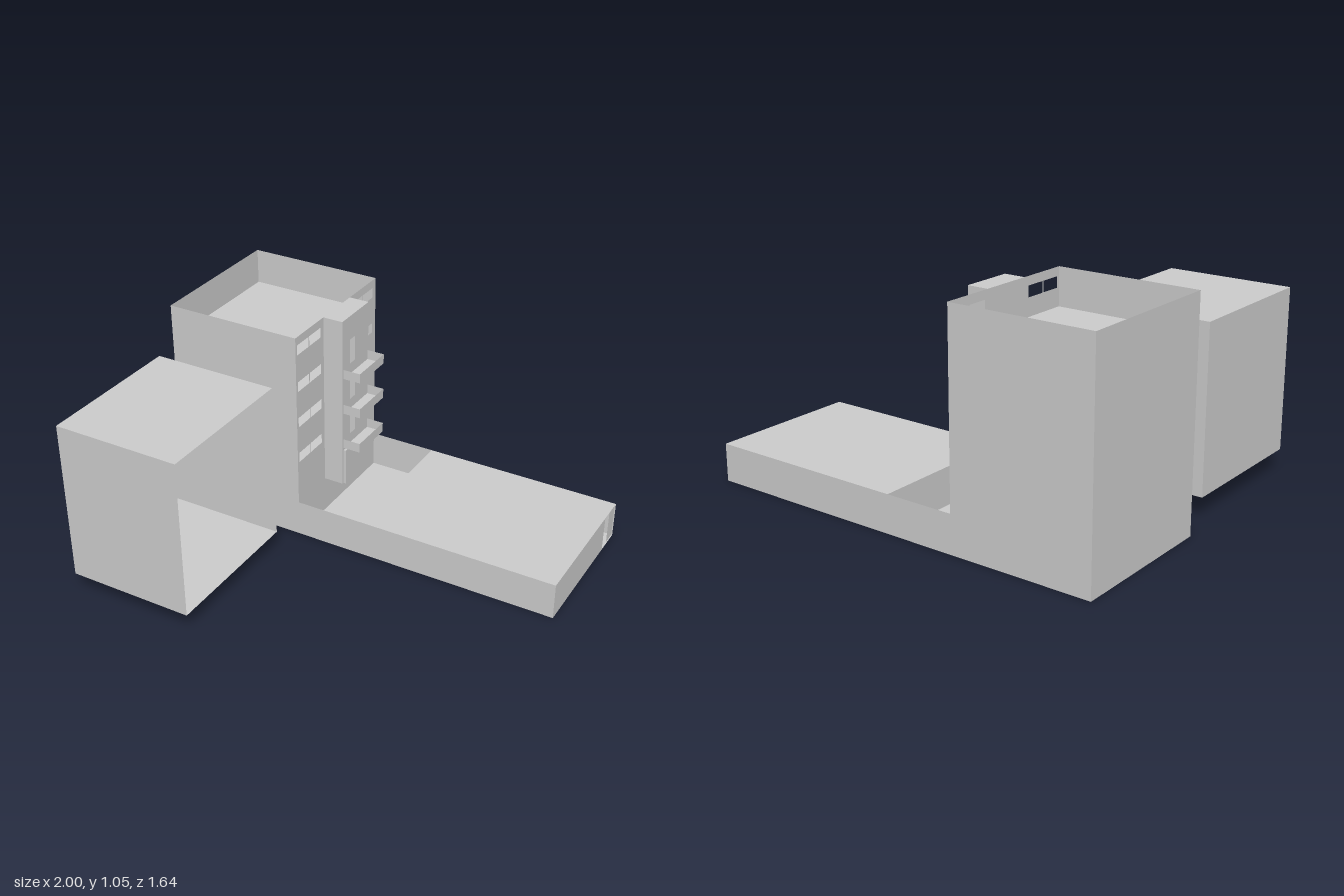
import * as THREE from 'three';

const material = new THREE.MeshStandardMaterial({ color: 0xcccccc, side: THREE.DoubleSide, flatShading: true });

// Flat wall or floor at a position on one axis, with rectangular holes.
// u, v ranges are (z, y) for axis x, (x, y) for axis z, (x, z) for axis y.
function sheet(parent, name, axis, pos, u0, u1, v0, v1, holes = []) {
  const su = axis === 'x' ? -1 : 1;
  const sv = axis === 'y' ? -1 : 1;
  const corners = (a, b, c, d) => [[a, c], [b, c], [b, d], [a, d]].map(([u, v]) => new THREE.Vector2(su * u, sv * v));
  const shape = new THREE.Shape(corners(u0, u1, v0, v1));
  for (const h of holes) shape.holes.push(new THREE.Path(corners(...h)));
  const geometry = new THREE.ShapeGeometry(shape);
  if (axis === 'x') geometry.rotateY(Math.PI / 2).translate(pos, 0, 0);
  if (axis === 'y') geometry.rotateX(-Math.PI / 2).translate(0, pos, 0);
  if (axis === 'z') geometry.translate(0, 0, pos);
  const mesh = new THREE.Mesh(geometry, material);
  mesh.name = name;
  parent.add(mesh);
}

function part(parent, name) {
  const group = new THREE.Group();
  group.name = name;
  parent.add(group);
  return group;
}

export function createModel() {
  const model = new THREE.Group();
  model.name = 'apartmentBuilding';
  const back = -0.82, front = -0.08, facade = -0.32, baseTop = 0.18, top = 1.055;

  // Low base with a sunken courtyard and a hollow block with a side opening
  const base = part(model, 'base');
  sheet(base, 'groundFloor', 'y', 0, -1, 1, back, front);
  for (const z of [back, front]) sheet(base, 'baseSideWall', 'z', z, facade, 1, 0, baseTop);
  sheet(base, 'lowRoof', 'y', baseTop, 0.015, 1, back, front);
  sheet(base, 'courtyardEndWall', 'x', 0.015, back, front, 0, baseTop);
  sheet(base, 'endWall', 'x', 1, -0.68, front, 0, baseTop);
  sheet(base, 'endWallStrip', 'x', 0.995, back, -0.75, 0, baseTop);

  // Tower shell with floors and a recessed roof
  const tower = part(model, 'tower');
  for (const z of [back, front]) sheet(tower, 'towerSideWall', 'z', z, -1, facade, 0, top);
  sheet(tower, 'towerRearWall', 'x', -1, back, front, 0, top);
  for (const y of [0.355, 0.53, 0.705]) sheet(tower, 'innerFloor', 'y', y, -0.995, facade - 0.005, back + 0.005, front - 0.005);
  sheet(tower, 'recessedRoof', 'y', 0.88, -1, facade, back, front);

  // Facade with four rows of paired windows
  const windows = [];
  for (const y of [0.4, 0.589, 0.776, 0.964])
    for (const z of [-0.79, -0.686, -0.298, -0.193]) windows.push([z, z + 0.099, y, y + 0.05]);
  sheet(tower, 'windowWall', 'x', facade, back, front, 0, top, windows);

  // Projecting shaft with balcony doorways
  const shaft = part(model, 'shaft');
  const z0 = -0.57, z1 = -0.325, face = -0.22;
  for (const z of [z0, z1]) sheet(shaft, 'shaftSide', 'z', z, facade, face, baseTop, top);
  sheet(shaft, 'shaftTop', 'y', top, facade, face, z0, z1);
  sheet(shaft, 'shaftBottom', 'y', baseTop, facade, face, z0, z1);
  const doors = [[0.43, 0.56], [0.62, 0.75], [0.81, 0.935]].map(([a, b]) => [-0.445, -0.345, a, b]);
  sheet(shaft, 'shaftFront', 'x', face, z0, z1, baseTop, top, doors);

  // Entrance panel at the foot of the shaft
  const entrance = new THREE.Mesh(new THREE.BoxGeometry(0.012, 0.187, 0.225), material);
  entrance.name = 'entrancePanel';
  entrance.position.set(-0.214, 0.2735, -0.4475);
  shaft.add(entrance);

  // Three open-topped balconies
  for (const y of [0.38, 0.57, 0.757]) {
    const balcony = part(model, 'balcony');
    sheet(balcony, 'balconyFloor', 'y', y, face, -0.132, -0.565, -0.335);
    sheet(balcony, 'balconyFront', 'x', -0.132, -0.565, -0.335, y, y + 0.048);
    for (const z of [-0.565, -0.335]) sheet(balcony, 'balconySide', 'z', z, face, -0.132, y, y + 0.048);
  }

  // Separate raised block, open on its left side
  const block = part(model, 'separateBlock');
  for (const z of [0.09, 0.82]) sheet(block, 'blockSide', 'z', z, -0.955, -0.34, 0.105, 0.88);
  for (const y of [0.105, 0.88]) sheet(block, 'blockCap', 'y', y, -0.955, -0.34, 0.09, 0.82);
  sheet(block, 'blockEnd', 'x', -0.955, 0.09, 0.82, 0.105, 0.88);

  return model;
}
